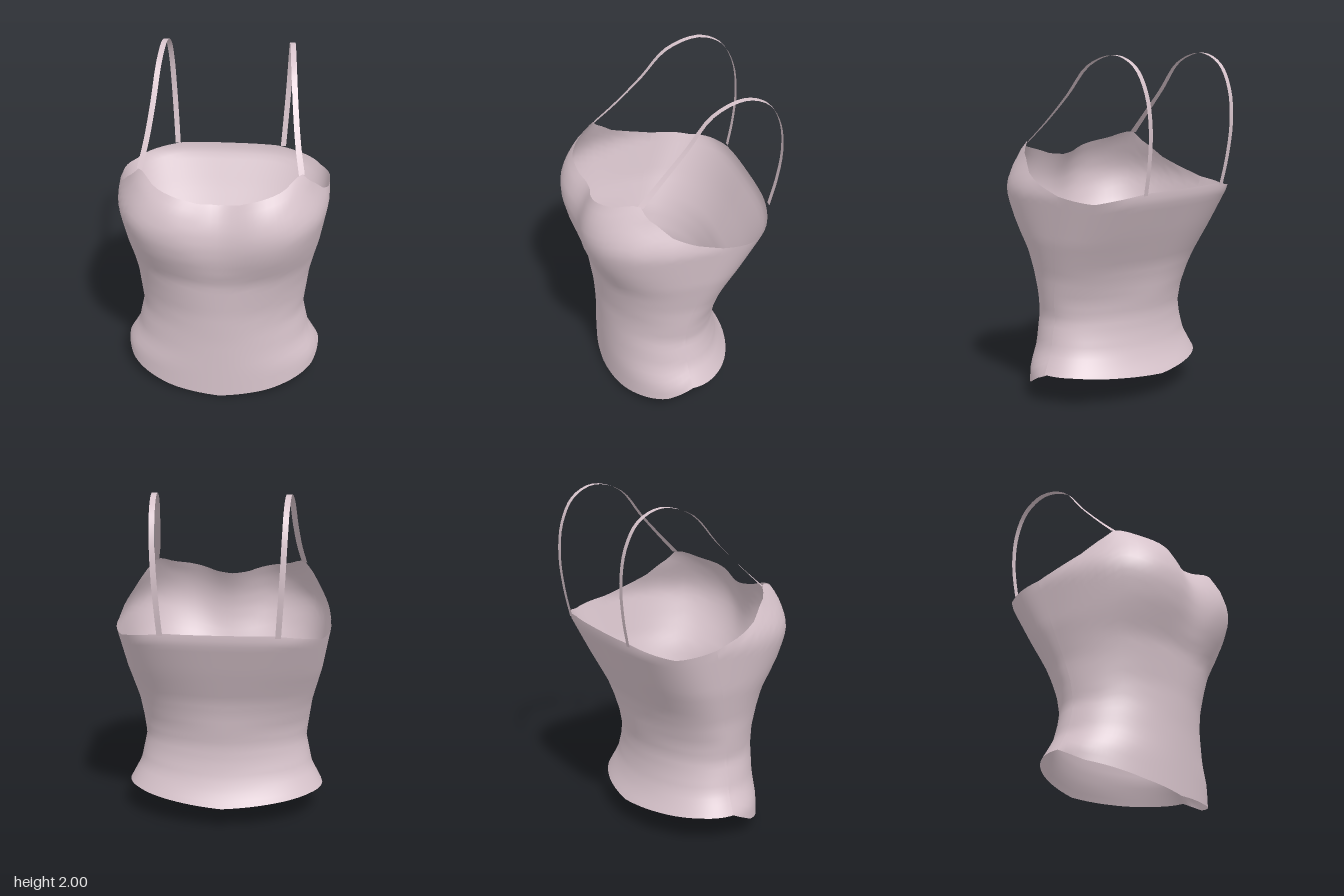
import * as THREE from 'three';

// Linear lookup in a list of [key, value] pairs
function lookup(pairs, k) {
  if (k <= pairs[0][0]) return pairs[0][1];
  for (let i = 1; i < pairs.length; i++) {
    const [k0, v0] = pairs[i - 1], [k1, v1] = pairs[i];
    if (k <= k1) return v0 + (v1 - v0) * (k - k0) / (k1 - k0);
  }
  return pairs[pairs.length - 1][1];
}

// Body profile by height: half width, front depth, back depth, side seam, squareness
const WIDTH = [[0, 0.6], [0.18, 0.59], [0.3, 0.525], [0.48, 0.487], [0.73, 0.52], [0.95, 0.575], [1.22, 0.62], [1.28, 0.61], [1.4, 0.56], [1.5, 0.54]];
const FRONT = [[0, 0.41], [0.4, 0.42], [0.6, 0.433], [0.85, 0.465], [0.95, 0.51], [1.05, 0.553], [1.15, 0.577], [1.25, 0.577], [1.35, 0.55], [1.43, 0.505], [1.5, 0.43]];
const BACK = [[0.14, -0.36], [0.22, -0.315], [0.3, -0.285], [0.4, -0.268], [0.5, -0.266], [0.7, -0.305], [0.8, -0.335], [1, -0.43], [1.2, -0.52], [1.25, -0.523]];
const SEAM = [[0.18, 0.02], [0.4, 0.04], [0.6, 0.03], [0.8, -0.02], [1, -0.07], [1.23, -0.13]];
const SQUARE = [[0, 2.1], [0.6, 1.95], [0.9, 2.4], [1.2, 3]];
const CLEAVAGE = [[0.9, 0], [1.2, 0.045], [1.38, 0.08]];

// Neckline and hem heights by angle from the front centre
const TOP = [[0, 1.375], [10, 1.385], [17, 1.41], [25.6, 1.432], [36, 1.455], [43, 1.49], [48, 1.5], [54, 1.45], [61, 1.4], [68, 1.33], [77, 1.28], [90, 1.23], [123, 1.2], [153, 1.25], [180, 1.25]];
const HEM = [[0, 0], [28, 0.03], [67, 0.1], [90, 0.18], [120, 0.177], [150, 0.16], [180, 0.14]];

function bodyPoint(deg, v) {
  const fold = deg > 180 ? 360 - deg : Math.abs(deg);
  const bottom = lookup(HEM, fold);
  const y = bottom + (lookup(TOP, fold) - bottom) * v;
  const a = deg * Math.PI / 180, s = Math.sin(a), c = Math.cos(a);
  const n = lookup(SQUARE, y);
  const r = Math.pow(Math.abs(s) ** n + Math.abs(c) ** n, -1 / n);
  const seam = lookup(SEAM, y);
  const depth = c >= 0 ? lookup(FRONT, y) - seam : seam - lookup(BACK, y);
  const x = s * r * lookup(WIDTH, y);
  let z = seam + c * r * depth;
  if (c > 0) z -= lookup(CLEAVAGE, y) * Math.exp(-((x / 0.16) ** 2));
  return [x, y, z];
}

// Surface from a grid of points, point(i, j) for i columns and j rows
function gridSurface(columns, rows, point) {
  const positions = [], index = [];
  for (let i = 0; i <= columns; i++) {
    for (let j = 0; j <= rows; j++) {
      positions.push(...point(i, j));
      if (i < columns && j < rows) {
        const a = i * (rows + 1) + j, b = a + rows + 1;
        index.push(a, b, b + 1, a, b + 1, a + 1);
      }
    }
  }
  const geometry = new THREE.BufferGeometry();
  geometry.setAttribute('position', new THREE.Float32BufferAttribute(positions, 3));
  geometry.setIndex(index);
  geometry.computeVertexNormals();
  return geometry;
}

export function createModel() {
  const group = new THREE.Group();
  const fabric = new THREE.MeshStandardMaterial({ color: 0xd8c4cc, side: THREE.DoubleSide });
  fabric.name = 'dusty pink fabric';

  const add = (name, geometry) => {
    const mesh = new THREE.Mesh(geometry, fabric);
    mesh.name = name;
    group.add(mesh);
  };

  // Front and back panels meet in a crease at the side seams
  const columns = 48, rows = 32;
  for (const [name, start] of [['frontPanel', -90], ['backPanel', 90]]) {
    add(name, gridSurface(columns, rows, (i, j) => bodyPoint(start + 180 * i / columns, j / rows)));
  }

  // Shoulder straps: flat ribbons from the neckline over to the back edge
  const path = new THREE.CatmullRomCurve3([
    [0.452, 1.49, 0.29], [0.425, 1.61, 0.165], [0.402, 1.77, 0.01], [0.384, 1.94, -0.14],
    [0.371, 2, -0.33], [0.364, 1.94, -0.47], [0.358, 1.8, -0.548], [0.35, 1.61, -0.573],
    [0.338, 1.4, -0.553], [0.328, 1.24, -0.52],
  ].map((p) => new THREE.Vector3(...p)));
  const steps = 36;
  for (const [name, side] of [['leftStrap', 1], ['rightStrap', -1]]) {
    add(name, gridSurface(steps, 1, (i, j) => {
      const p = path.getPoint(i / steps);
      const offset = (j - 0.5) * side;
      const twist = Math.max(0, 1 - i / 12) * 0.02; // ribbon turns outward at the front
      return [side * p.x + offset * 0.032, Math.min(p.y, 2), p.z - (j - 0.5) * twist];
    }));
  }
  return group;
}
